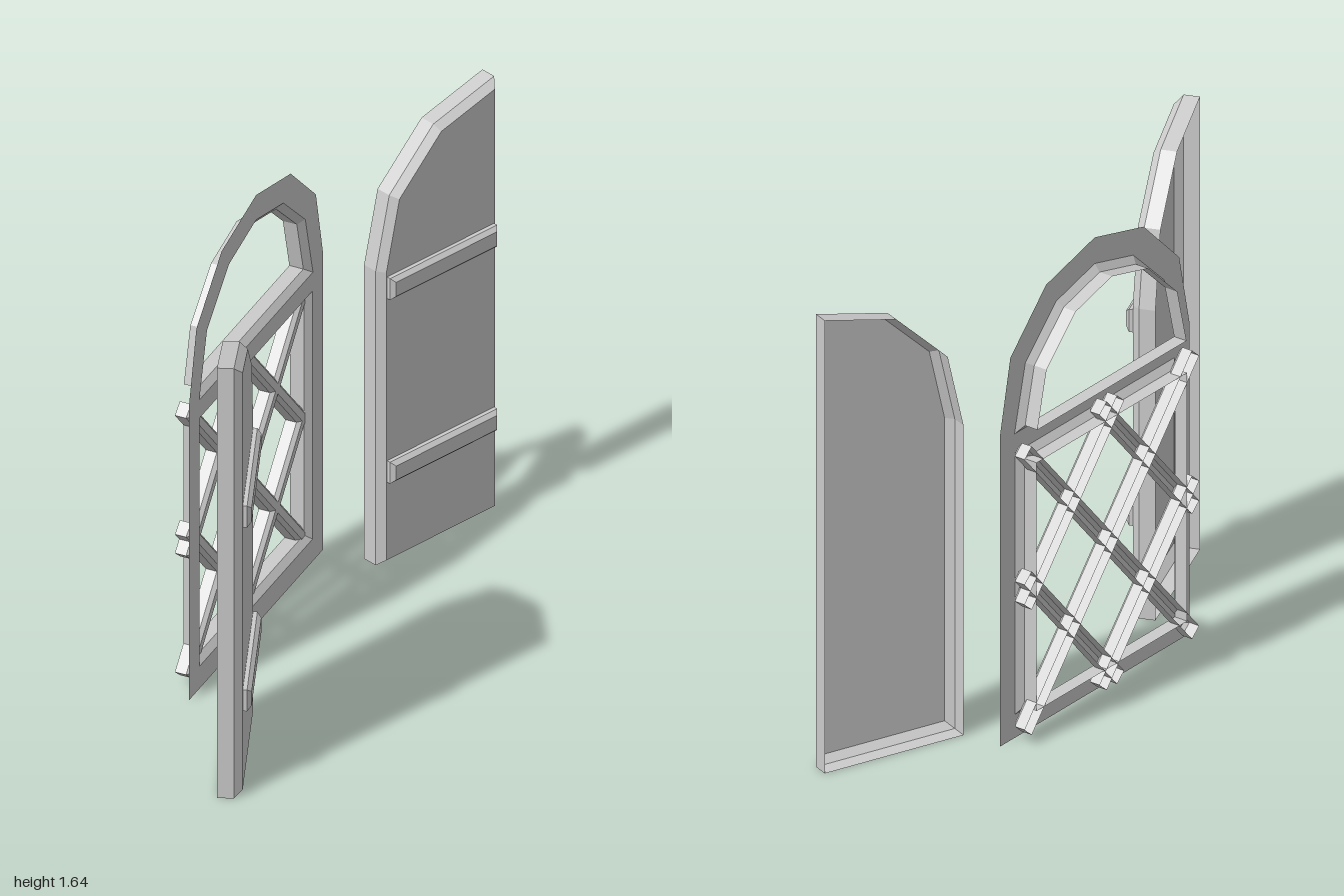
import * as THREE from 'three';
import { mergeGeometries } from 'three/addons/utils/BufferGeometryUtils.js';

const material = new THREE.MeshStandardMaterial({
  color: 0xcccccc, flatShading: true, side: THREE.DoubleSide,
});

// Move every edge of a counter-clockwise outline inwards by d
function inset(points, d) {
  const n = points.length;
  return points.map((p, i) => {
    const a = p.clone().sub(points[(i + n - 1) % n]).normalize();
    const b = points[(i + 1) % n].clone().sub(p).normalize();
    const k = d / (1 + a.dot(b));
    return new THREE.Vector2(p.x - (a.y + b.y) * k, p.y + (a.x + b.x) * k);
  });
}

// Walls through [inset, depth] steps of an outline, optionally closed by a flat face
function shell(outline, steps, capped) {
  const rings = steps.map(([d, z]) => inset(outline, d).map(p => new THREE.Vector3(p.x, p.y, z)));
  const pts = [];
  for (let r = 0; r + 1 < rings.length; r++) {
    const A = rings[r], B = rings[r + 1];
    A.forEach((p, i) => {
      const j = (i + 1) % A.length;
      pts.push(p, A[j], B[j], p, B[j], B[i]);
    });
  }
  const walls = new THREE.BufferGeometry().setFromPoints(pts);
  walls.computeVertexNormals();
  if (!capped) return walls;
  const [d, z] = steps[steps.length - 1];
  const cap = new THREE.ShapeGeometry(new THREE.Shape(inset(outline, d))).toNonIndexed();
  cap.deleteAttribute('uv');
  cap.translate(0, 0, z);
  return mergeGeometries([walls, cap]);
}

const outlineOf = list => list.map(([x, y]) => new THREE.Vector2(x, y));
const rect = (x0, y0, x1, y1) => outlineOf([[x0, y0], [x1, y0], [x1, y1], [x0, y1]]);

// Symmetric arched outline from its right half, listed bottom to top; the last point is the apex
function arch(half) {
  const left = half.slice(0, -1).reverse().map(([x, y]) => [-x, y]);
  return outlineOf([...half, ...left]);
}

function addMesh(parent, name, geometry) {
  const mesh = new THREE.Mesh(geometry, material);
  mesh.name = name;
  parent.add(mesh);
  return mesh;
}

function createWindow() {
  const group = new THREE.Group();
  group.name = 'archedWindow';

  // Flat frame face with an arched light above a rectangular one
  const upper = arch([[0.428, 1.105], [0.37, 1.34], [0.205, 1.497], [0, 1.55]]);
  const lower = rect(-0.425, 0.085, 0.425, 1.035);
  const face = new THREE.Shape(arch([[0.505, 0], [0.505, 1.13], [0.45, 1.39], [0.26, 1.578], [0, 1.645]]));
  face.holes.push(new THREE.Path(upper), new THREE.Path(lower));
  addMesh(group, 'frameFace', new THREE.ShapeGeometry(face));

  // Bevelled reveals running back from the openings
  const reveal = [[0, 0], [0.024, -0.02], [0.024, -0.07]];
  addMesh(group, 'archReveal', shell(upper, reveal, false));
  addMesh(group, 'latticeReveal', shell(lower, reveal, false));

  // Diagonal lattice: long bars through the middle, short bars cutting the corners
  const dx = 0.4, dy = 0.455, midY = 0.557;
  for (const slope of [1, -1]) {
    for (const [shift, size] of [[0, 1], [-0.5, 0.5], [0.5, 0.5]]) {
      const half = Math.hypot(dx, dy) * size + 0.07;
      const bar = addMesh(group, 'latticeBar', shell(
        rect(-half, -0.025, half, 0.025), [[0, 0], [0, 0.04], [0.012, 0.053]], true));
      bar.position.set(dx * shift, midY - slope * dy * shift, -0.07);
      bar.rotation.z = slope * Math.atan2(dy, dx);
    }
  }
  group.rotation.y = Math.PI / 2;
  group.position.x = -0.18;
  return group;
}

function createShutter() {
  const shutter = new THREE.Group();
  shutter.name = 'shutter';

  // Half-arch leaf: hollow behind, bevelled around its outer face
  const leaf = outlineOf([[-0.525, 0], [0, 0], [0, 1.645], [-0.27, 1.578], [-0.465, 1.39], [-0.525, 1.125]]);
  addMesh(shutter, 'shutterPanel', shell(leaf, [[0, 0], [0, 0.055], [0.022, 0.082]], true));

  // Two cross battens
  for (const y of [0.32, 1.023]) {
    const batten = addMesh(shutter, 'batten', shell(
      rect(-0.5, y, -0.025, y + 0.082), [[0, 0], [0, 0.014], [0.014, 0.028]], true));
    batten.position.z = 0.082;
  }
  shutter.rotation.y = Math.PI / 2 - 0.3735;
  shutter.position.set(0.155, 0, -1);
  return shutter;
}

export function createModel() {
  const model = new THREE.Group();
  model.name = 'shutteredWindow';
  model.add(createWindow());
  // A mirrored pair of opened shutters
  for (const side of [1, -1]) {
    const holder = new THREE.Group();
    holder.name = side > 0 ? 'backShutter' : 'frontShutter';
    holder.scale.z = side;
    holder.add(createShutter());
    model.add(holder);
  }
  return model;
}
